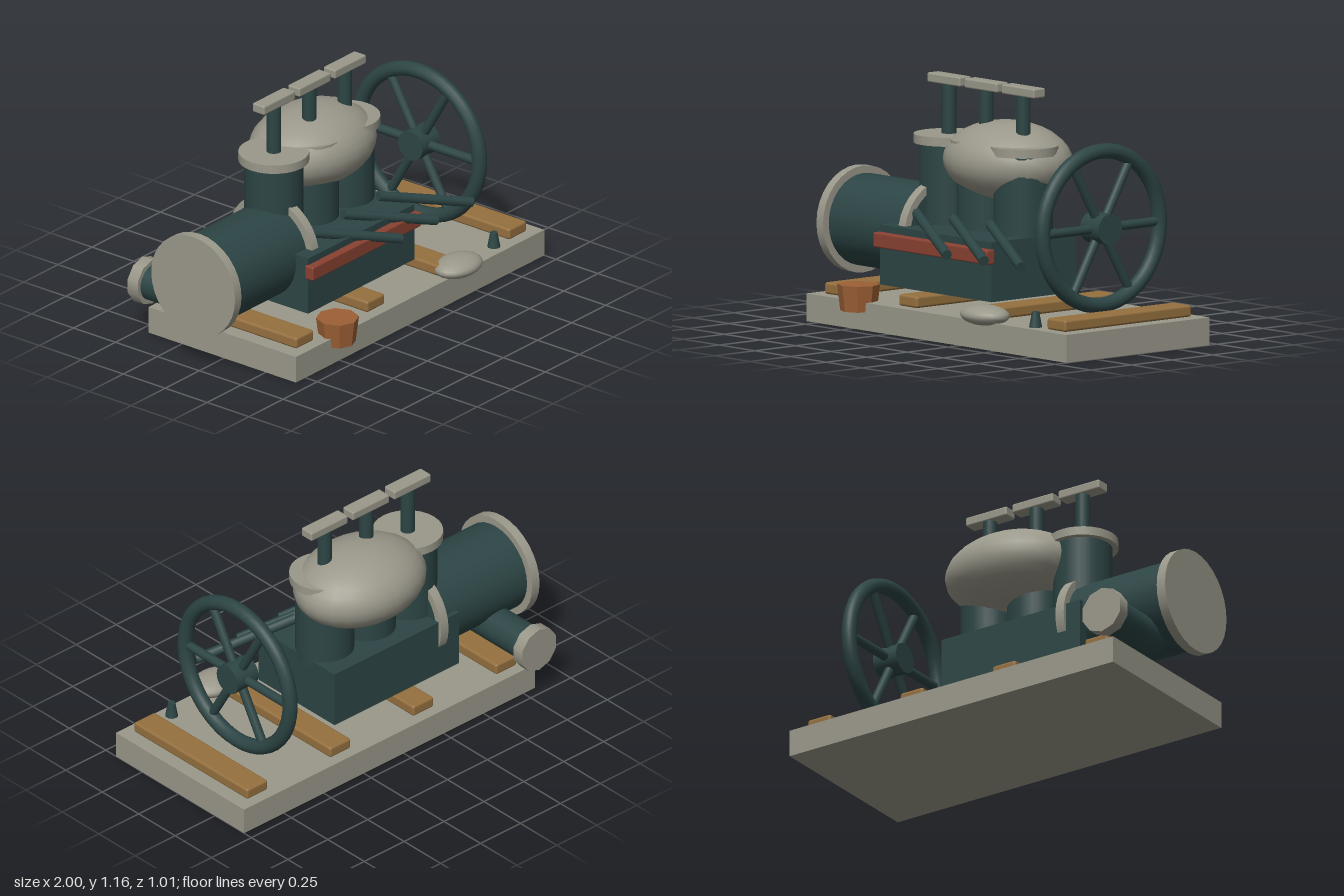
import * as THREE from 'three';
import { RoundedBoxGeometry } from 'three/addons/geometries/RoundedBoxGeometry.js';

function material(name, color) {
  const m = new THREE.MeshStandardMaterial({ color });
  m.name = name;
  return m;
}

export function createModel() {
  const iron = material('dark teal iron', 0x2d4545);
  const stone = material('warm grey', 0x9a988a);
  const wood = material('timber brown', 0x95703f);
  const red = material('brick red', 0x8a4232);
  const copper = material('copper', 0x9c6035);

  const model = new THREE.Group();
  model.name = 'stationaryEngine';

  function add(name, geometry, mat, x, y, z, parent = model) {
    const mesh = new THREE.Mesh(geometry, mat);
    mesh.name = name;
    mesh.position.set(x, y, z);
    parent.add(mesh);
    return mesh;
  }
  const box = (w, h, d, r = 0) =>
    r ? new RoundedBoxGeometry(w, h, d, 2, r) : new THREE.BoxGeometry(w, h, d);
  const drum = (r, length, sides = 28, top = r) => new THREE.CylinderGeometry(top, r, length, sides);
  const alongX = (g) => g.rotateZ(Math.PI / 2);
  const alongZ = (g) => g.rotateX(Math.PI / 2);

  // Round bar between two points
  function rod(name, from, to, radius, mat, parent) {
    const dir = to.clone().sub(from);
    const mid = from.clone().add(to).multiplyScalar(0.5);
    const mesh = add(name, drum(radius, dir.length(), 12), mat, mid.x, mid.y, mid.z, parent);
    mesh.quaternion.setFromUnitVectors(new THREE.Vector3(0, 1, 0), dir.normalize());
    return mesh;
  }

  // Base slab and timber sleepers
  add('baseSlab', box(1.82, 0.13, 0.88), stone, 0.09, 0.065, -0.01);
  for (const x of [-0.69, -0.17, 0.35, 0.87]) {
    add('sleeper', box(0.13, 0.055, 0.78, 0.012), wood, x, 0.158, -0.01);
  }

  // Engine block with its red rail
  add('engineBlock', box(0.78, 0.28, 0.52), iron, -0.12, 0.328, -0.01);
  add('redRail', box(0.8, 0.07, 0.05, 0.008), red, -0.12, 0.4, 0.262);

  // Three upright cylinders, each with cap, stem, cross bar and lever
  for (const x of [-0.38, -0.12, 0.14]) {
    const unit = new THREE.Group();
    unit.name = 'cylinderUnit';
    unit.position.set(x, 0, -0.06);
    model.add(unit);
    add('cylinder', drum(0.138, 0.42), iron, 0, 0.64, 0, unit);
    add('cylinderCap', drum(0.165, 0.042), stone, 0, 0.86, 0, unit);
    add('stem', drum(0.034, 0.28, 16), iron, 0, 0.98, 0, unit);
    add('crossBar', box(0.23, 0.045, 0.072, 0.008), stone, 0, 1.133, 0, unit);
    rod('lever', new THREE.Vector3(0, 0.525, 0.2), new THREE.Vector3(0.44, 0.395, 0.4), 0.024, iron, unit);
  }

  // Swollen vessel around the cylinders
  add('vessel', new THREE.SphereGeometry(1, 24, 16), stone, -0.03, 0.787, -0.115)
    .scale.set(0.342, 0.186, 0.267);

  // Horizontal boiler with end flanges
  add('boiler', alongX(drum(0.215, 0.58, 32)), iron, -0.67, 0.42, -0.037);
  for (const x of [-0.976, -0.406]) {
    add('boilerFlange', alongX(drum(0.25, 0.047, 32)), stone, x, 0.42, -0.037);
  }

  // Side outlet at the back
  add('outletPipe', alongZ(drum(0.086, 0.36, 18)), iron, -0.795, 0.25, -0.28);
  add('outletFlange', alongZ(drum(0.111, 0.06, 10)), stone, -0.795, 0.25, -0.478);

  // Flywheel in the y-z plane
  const wheel = new THREE.Group();
  wheel.name = 'flywheel';
  wheel.position.set(0.685, 0.55, -0.06);
  model.add(wheel);
  add('wheelRim', new THREE.TorusGeometry(0.36, 0.036, 12, 48).rotateY(Math.PI / 2), iron, 0, 0, 0, wheel);
  add('wheelHub', alongX(drum(0.073, 0.13, 20)), iron, 0, 0, 0, wheel);
  for (let i = 0; i < 6; i++) {
    const a = (i * Math.PI) / 3;
    rod('spoke', new THREE.Vector3(), new THREE.Vector3(0, Math.sin(a) * 0.36, Math.cos(a) * 0.36), 0.022, iron, wheel);
  }

  // Loose items at the front edge
  const potGeometry = drum(0.085, 0.123, 8, 0.1).toNonIndexed();
  potGeometry.computeVertexNormals();
  add('pot', potGeometry, copper, -0.485, 0.146, 0.405);
  add('pebble', new THREE.SphereGeometry(1, 20, 12), stone, 0.4, 0.158, 0.405).scale.set(0.135, 0.048, 0.098);
  add('oilCup', drum(0.031, 0.075, 10, 0.017), iron, 0.71, 0.165, 0.365);

  return model;
}
